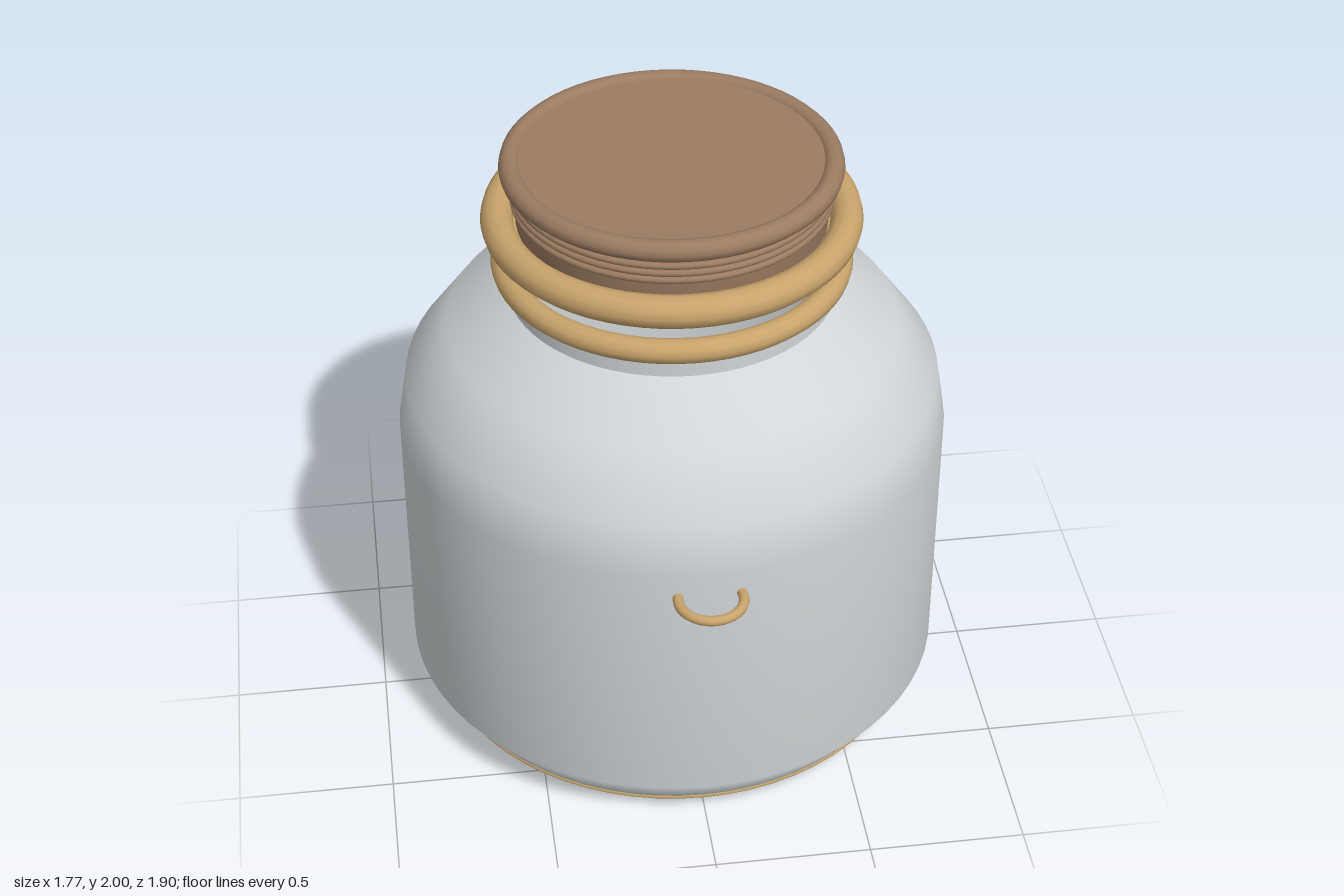
import * as THREE from 'three';

export function createModel() {
  const model = new THREE.Group();
  model.name = 'storageJar';

  const ceramic = new THREE.MeshStandardMaterial({ name: 'pale grey', color: 0xd0d5d7, side: THREE.DoubleSide });
  const gold = new THREE.MeshStandardMaterial({ name: 'tan gold', color: 0xc9a46c });
  const brown = new THREE.MeshStandardMaterial({ name: 'brown', color: 0x9c7c62, side: THREE.DoubleSide });

  // The jar axis sits slightly behind the origin so the front loop fits
  const jar = new THREE.Group();
  jar.name = 'jar';
  jar.position.z = -0.065;
  model.add(jar);

  const add = (name, geometry, material) => {
    const mesh = new THREE.Mesh(geometry, material);
    mesh.name = name;
    jar.add(mesh);
    return mesh;
  };
  const lathe = (name, profile, material) =>
    add(name, new THREE.LatheGeometry(profile.map(([r, y]) => new THREE.Vector2(r, y)), 64), material);
  const ring = (name, radius, tube, y, material, squash = 1) => {
    const geometry = new THREE.TorusGeometry(radius, tube, 12, 64).rotateX(Math.PI / 2).scale(1, squash, 1);
    const mesh = add(name, geometry, material);
    mesh.position.y = y;
    return mesh;
  };

  // Jar shell: separate lathes keep the base and neck edges crisp
  lathe('base', [[0, 0], [0.66, 0]], ceramic);
  lathe('baseChamfer', [[0.66, 0], [0.8, 0.05]], ceramic);
  lathe('body', [[0.8, 0.05], [0.885, 0.17], [0.885, 1.04], [0.855, 1.22], [0.72, 1.405], [0.52, 1.53]], ceramic);
  lathe('neck', [[0.52, 1.53], [0.52, 1.62]], ceramic);
  lathe('innerWall', [[0.52, 1.62], [0.49, 1.63], [0.49, 1.52], [0.68, 1.39], [0.82, 1.2],
    [0.85, 1.03], [0.85, 0.18], [0.75, 0.08], [0, 0.06]], ceramic);

  // Trim on the jar
  ring('baseBand', 0.78, 0.028, 0.05, gold, 0.45);
  ring('rimRing', 0.529, 0.039, 1.63, gold);

  // Floating lid with a collar, threads and a raised rim
  lathe('lidBody', [[0, 1.722], [0.45, 1.722], [0.45, 1.75], [0.485, 1.78], [0.485, 1.965]], brown);
  lathe('lidTop', [[0.5, 1.985], [0, 1.985]], brown);
  ring('lidCollar', 0.543, 0.051, 1.782, gold);
  for (const y of [1.857, 1.882, 1.907]) ring('lidThread', 0.489, 0.011, y, brown);
  ring('lidRim', 0.497, 0.034, 1.966, brown);

  // Small horizontal loop on the front
  const loop = ring('frontLoop', 0.1, 0.016, 0.97, gold);
  loop.position.z = 0.9;

  return model;
}
